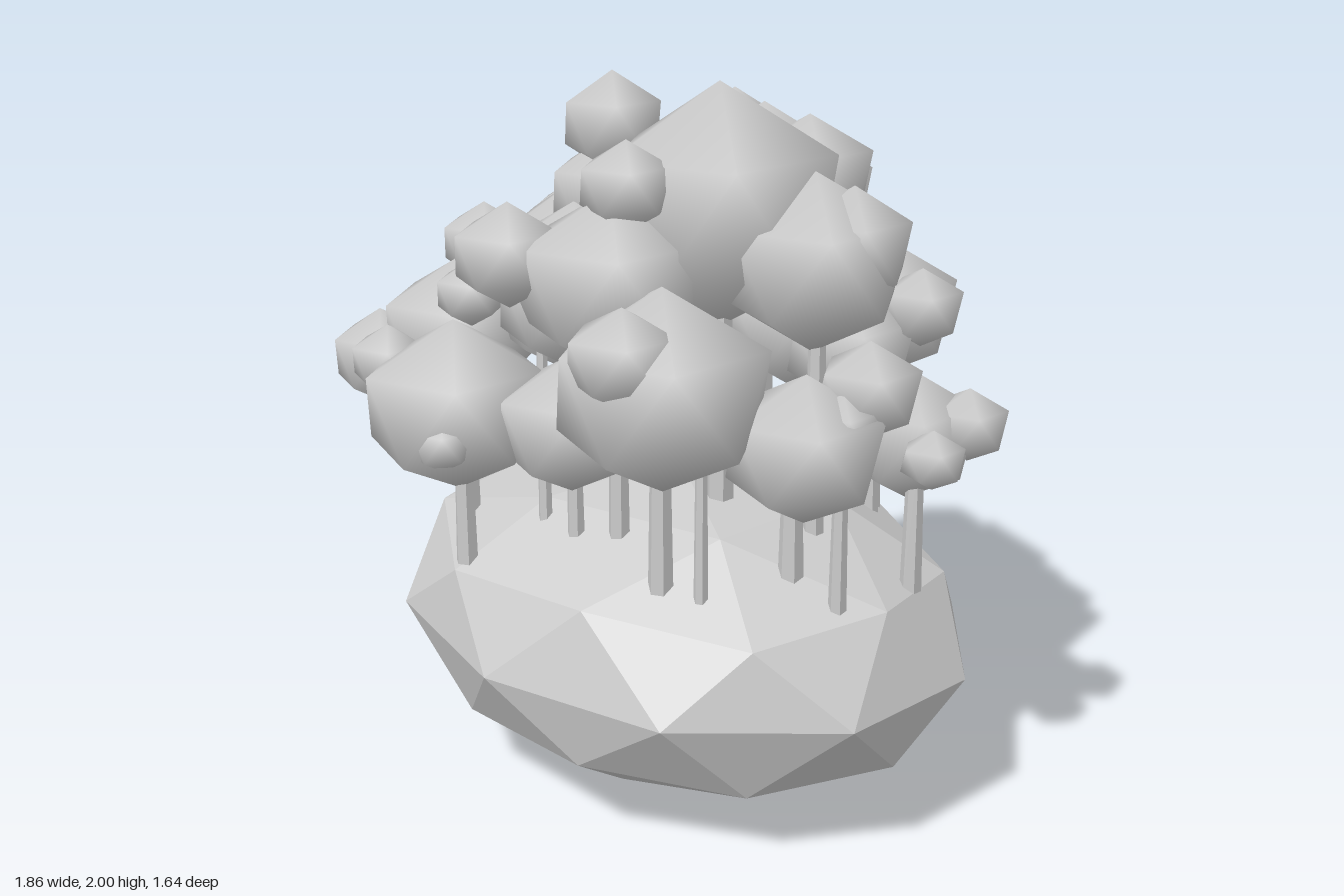
import * as THREE from 'three';
import { mergeVertices } from 'three/addons/utils/BufferGeometryUtils.js';

// Icosahedron standing on one corner, so it has a pole at the top and bottom
function poleIcosahedron(detail) {
  const g = new THREE.IcosahedronGeometry(1, detail);
  g.rotateX(-Math.atan2((1 + Math.sqrt(5)) / 2, 1));
  g.rotateY(-Math.PI / 2);
  return g;
}

// Each tree clump: leaf puffs as [x, y, z, half height, width factor (1.14 if left out)]
const clumps = {
  crown: [[0.2, 1.67, 0.04, 0.33, 1.06], [0.23, 1.71, -0.27, 0.17], [0.46, 1.55, -0.05, 0.24], [0.55, 1.6, -0.1, 0.16, 1.05]],
  backCrown: [[-0.03, 1.55, -0.36, 0.32, 1.08], [-0.26, 1.72, -0.47, 0.15, 1.05]],
  tallTree: [[-0.36, 1.8, -0.08, 0.15, 1.05], [-0.37, 1.59, -0.08, 0.18, 1.08]],
  leftTree: [[-0.62, 1.33, -0.2, 0.27, 1.05], [-0.81, 1.41, -0.3, 0.12, 1.08]],
  leftBackTree: [[-0.4, 1.24, -0.5, 0.2], [-0.63, 1.19, -0.49, 0.12], [-0.55, 1.12, -0.38, 0.13],
    [-0.3, 1.13, -0.6, 0.11], [-0.36, 1.37, -0.54, 0.14]],
  leftFrontTree: [[-0.62, 1.45, 0.19, 0.12], [-0.62, 1.27, 0.17, 0.18, 1.05]],
  frontLeftTree: [[-0.47, 1.26, 0.4, 0.21], [-0.66, 1.17, 0.54, 0.14, 1.08], [-0.48, 1.22, 0.64, 0.1]],
  frontTree: [[-0.26, 1.13, 0.58, 0.24, 1.15], [-0.15, 1.08, 0.71, 0.08], [0.03, 1.11, 0.42, 0.19]],
  middleTree: [[0.13, 1.51, 0.36, 0.24], [0.16, 1.76, 0.33, 0.12], [-0.05, 1.58, 0.55, 0.14],
    [-0.23, 1.44, 0.54, 0.09], [-0.05, 1.42, 0.36, 0.18], [-0.24, 1.38, 0.17, 0.25]],
  frontRightTree: [[0.39, 1.29, 0.42, 0.27], [0.41, 1.41, 0.57, 0.13, 1.2]],
  rightTree: [[0.63, 1.13, 0.15, 0.2], [0.7, 1.27, -0.01, 0.13], [0.71, 1.2, 0.1, 0.09]],
  rightBackTree: [[0.67, 1.1, -0.2, 0.18], [0.81, 1.14, -0.28, 0.1], [0.85, 1.1, -0.09, 0.08]],
  backRightTree: [[0.33, 1.32, -0.48, 0.2], [0.52, 1.37, -0.42, 0.11], [0.4, 1.26, -0.27, 0.17]],
  backTree: [[-0.02, 1.2, -0.5, 0.21], [-0.16, 1.11, -0.71, 0.12], [0.04, 1.13, -0.7, 0.11]]
};

// Trunks as [x, z, radius, top]
const trunks = [
  [-0.64, 0.18, 0.03, 1.25], [-0.6, -0.2, 0.035, 1.3], [-0.68, 0.12, 0.022, 1.2], [-0.46, 0.4, 0.035, 1.2],
  [-0.25, 0.57, 0.032, 1.1], [-0.11, 0.4, 0.02, 1.35], [0.02, 0.4, 0.025, 1.1], [0.13, 0.34, 0.03, 1.4],
  [0.36, 0.4, 0.035, 1.2], [0.47, 0.36, 0.02, 1.2], [0.57, 0.13, 0.035, 1.1], [0.71, 0.1, 0.025, 1.1],
  [0.72, -0.18, 0.03, 1.05], [0.22, 0.05, 0.04, 1.5], [0.29, -0.5, 0.03, 1.25], [0.35, -0.43, 0.025, 1.25],
  [-0.03, -0.36, 0.04, 1.4], [-0.05, -0.53, 0.03, 1.1], [-0.37, -0.08, 0.03, 1.5], [0.47, -0.06, 0.03, 1.45],
  [-0.4, -0.49, 0.025, 1.3], [-0.55, -0.36, 0.025, 1.1], [-0.22, 0.17, 0.03, 1.3]
];

export function createModel() {
  const model = new THREE.Group();
  const grey = new THREE.MeshStandardMaterial({ color: 0xcccccc });
  grey.name = 'plainGrey';

  // Faceted boulder
  const rx = 0.935, ry = 0.45, rz = 0.715;
  const rockGeo = poleIcosahedron(1).scale(rx, ry, rz);
  rockGeo.translate(0, ry, 0);
  rockGeo.computeVertexNormals();
  const rock = new THREE.Mesh(rockGeo, grey);
  rock.name = 'boulder';
  model.add(rock);

  // Smooth-shaded puffs of leaves, a little wider than tall
  let puffGeo = poleIcosahedron(0);
  puffGeo.deleteAttribute('normal');
  puffGeo.deleteAttribute('uv');
  puffGeo = mergeVertices(puffGeo, 1e-4);
  puffGeo.computeVertexNormals();
  for (const [name, puffs] of Object.entries(clumps)) {
    const tree = new THREE.Group();
    tree.name = name;
    for (const [x, y, z, r, wide = 1.14] of puffs) {
      const puff = new THREE.Mesh(puffGeo, grey);
      puff.name = 'leafPuff';
      puff.position.set(x, y, z);
      puff.scale.set(r * wide, r, r * wide);
      tree.add(puff);
    }
    model.add(tree);
  }

  // Thin six-sided trunks rooted in the boulder
  for (const [x, z, r, top] of trunks) {
    const inside = Math.max(0, 1 - (x / rx) ** 2 - (z / rz) ** 2);
    const foot = Math.max(0.67, ry + ry * Math.sqrt(inside) - 0.06);
    const geo = new THREE.CylinderGeometry(r * 0.75, r, top - foot, 6).toNonIndexed();
    geo.computeVertexNormals();
    const trunk = new THREE.Mesh(geo, grey);
    trunk.name = 'trunk';
    trunk.position.set(x, (top + foot) / 2, z);
    model.add(trunk);
  }
  return model;
}
